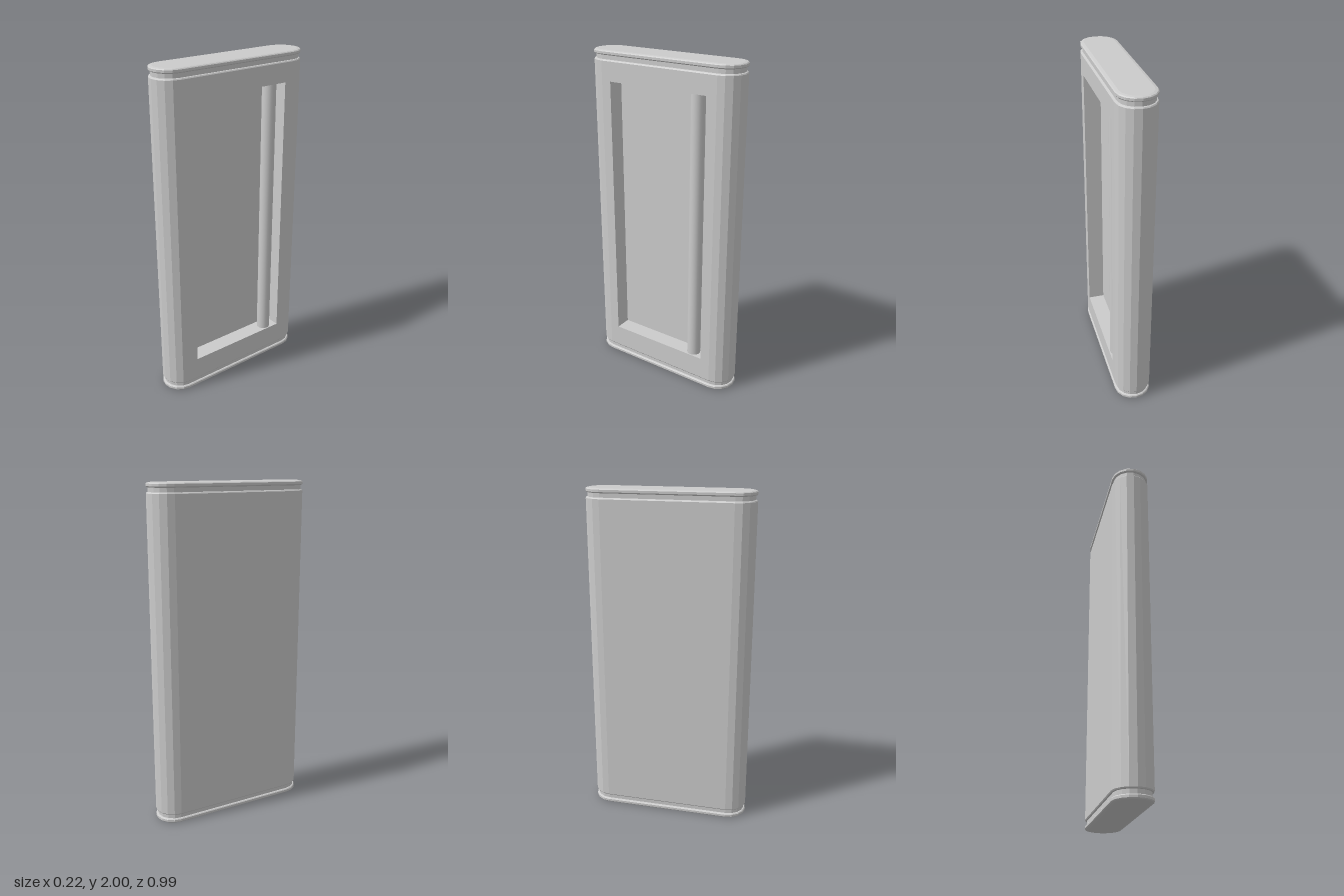
import * as THREE from 'three';

const RADIUS = 0.11;    // half thickness of the slab
const CENTRE = 0.383;   // z of the rounded ends' axes
const SEGMENTS = 8;     // facets on each rounded end

// Points [x, z] of a stadium outline; the last side is the flat right (+x) one
function stadium(inset) {
  const points = [];
  for (const end of [0, 1]) {
    for (let i = 0; i <= SEGMENTS; i++) {
      const a = Math.PI * (end + i / SEGMENTS);
      const r = RADIUS - inset;
      points.push([r * Math.cos(a), (end ? -CENTRE : CENTRE) + r * Math.sin(a)]);
    }
  }
  return points;
}

// Closed loft through [y, inset] levels; the right side of one level can be left open
function loft(levels, openLevel) {
  const positions = [];
  const index = [];
  const n = 2 * (SEGMENTS + 1);
  for (const [y, inset] of levels) {
    for (const [x, z] of stadium(inset)) positions.push(x, y, z);
  }
  for (let k = 0; k < levels.length - 1; k++) {
    for (let i = 0; i < n; i++) {
      if (k === openLevel && i === n - 1) continue;
      const j = (i + 1) % n;
      const a = k * n + i, b = k * n + j;
      index.push(a, a + n, b + n, a, b + n, b);
    }
  }
  const top = (levels.length - 1) * n;
  for (let i = 1; i < n - 1; i++) {
    index.push(0, i, i + 1);
    index.push(top, top + i + 1, top + i);
  }
  const geometry = new THREE.BufferGeometry();
  geometry.setAttribute('position', new THREE.Float32BufferAttribute(positions, 3));
  geometry.setIndex(index);
  const flat = geometry.toNonIndexed();
  flat.computeVertexNormals();
  return flat;
}

function rectangle(path, x0, x1, y0, y1) {
  path.moveTo(x0, y0);
  path.lineTo(x1, y0);
  path.lineTo(x1, y1);
  path.lineTo(x0, y1);
  path.closePath();
  return path;
}

export function createModel() {
  const model = new THREE.Group();
  model.name = 'slabWithHandle';
  const facetted = new THREE.MeshStandardMaterial({ color: 0xcccccc, flatShading: true });
  const smooth = new THREE.MeshStandardMaterial({ color: 0xcccccc });

  const add = (name, geometry, material) => {
    const mesh = new THREE.Mesh(geometry, material);
    mesh.name = name;
    model.add(mesh);
    return mesh;
  };

  // Slab with a bevelled lip and a groove at each end
  const lower = [[0, 0.02], [0.003, 0.005], [0.008, 0], [0.021, 0], [0.026, 0.004],
    [0.028, 0.011], [0.052, 0.011], [0.054, 0.004], [0.06, 0]];
  const upper = lower.map(([y, inset]) => [2 - y, inset]).reverse();
  add('body', loft([...lower, ...upper], lower.length - 1), facetted);

  // Right panel with the window; its thickness forms the recess walls
  const depth = 0.1;
  const win = { x0: -0.323, x1: 0.323, y0: 0.195, y1: 1.827 };
  const panel = rectangle(new THREE.Shape(), -CENTRE, CENTRE, 0.06, 1.94);
  panel.holes.push(rectangle(new THREE.Path(), win.x0, win.x1, win.y0, win.y1));
  const panelGeometry = new THREE.ExtrudeGeometry(panel, { depth, bevelEnabled: false });
  panelGeometry.rotateY(Math.PI / 2);
  panelGeometry.translate(RADIUS - depth, 0, 0);
  add('windowPanel', panelGeometry, facetted);

  // Floor of the recess
  const height = win.y1 - win.y0;
  const middle = (win.y1 + win.y0) / 2;
  const floor = add('recessFloor', new THREE.PlaneGeometry(win.x1 - win.x0, height), facetted);
  floor.rotation.y = Math.PI / 2;
  floor.position.set(RADIUS - depth, middle, 0);

  // Upright grip bar inside the recess
  const bar = add('handleBar', new THREE.CylinderGeometry(0.041, 0.041, height, 20), smooth);
  bar.position.set(0.063, middle, -0.243);

  return model;
}
